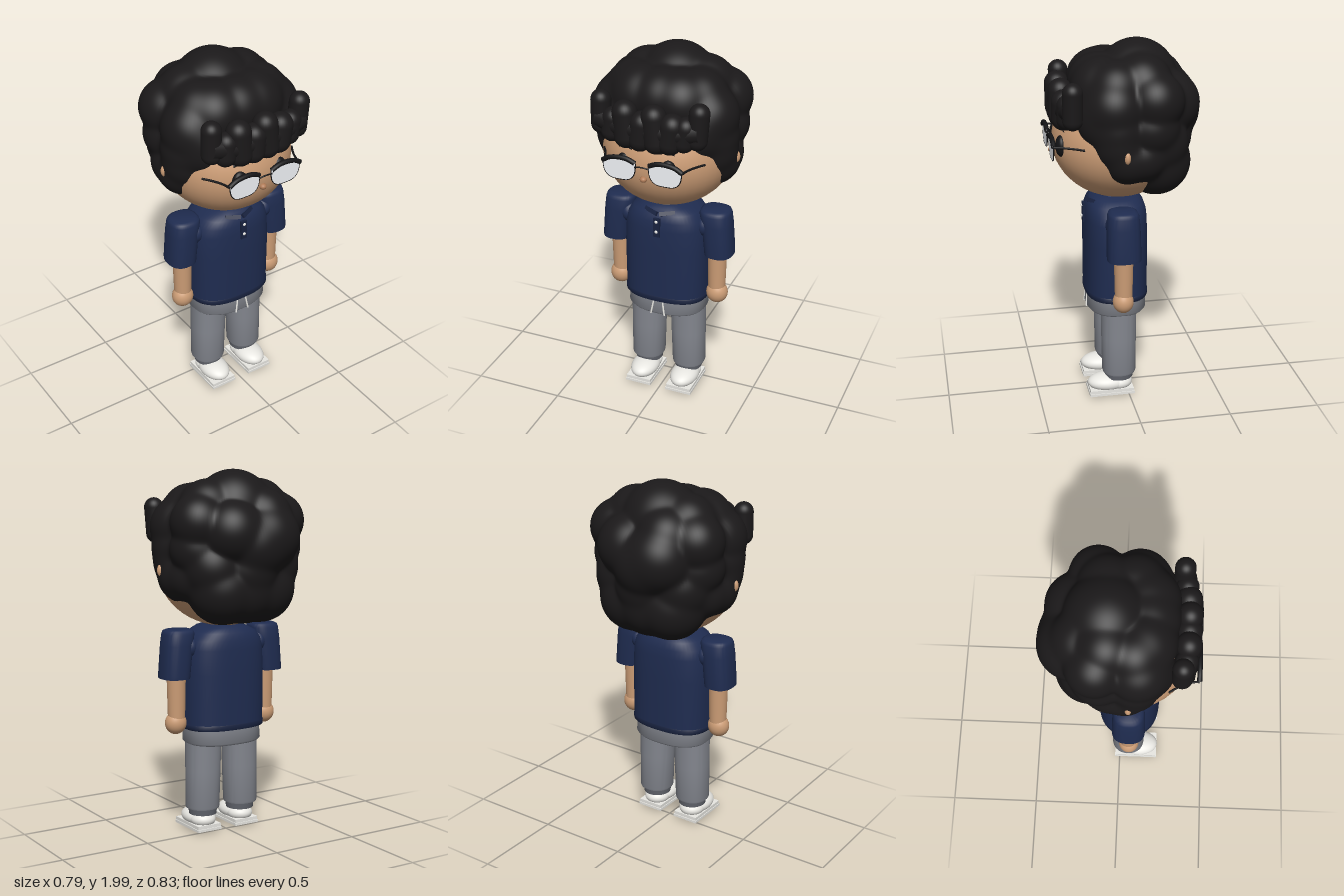
import * as THREE from 'three';
import { mergeVertices, toCreasedNormals } from 'three/addons/utils/BufferGeometryUtils.js';

const mat = (color) => new THREE.MeshStandardMaterial({ color, side: THREE.DoubleSide });

// Loft through rings [y, rx, rz, cx, cz]; n is the squareness of the section
function loft(rings, n = 2, seg = 48) {
  const pos = [], idx = [];
  const first = rings[0], last = rings[rings.length - 1];
  const closed = [[first[0], 0, 0, first[3], first[4]], ...rings, [last[0], 0, 0, last[3], last[4]]];
  const pw = (v) => Math.sign(v) * Math.abs(v) ** (2 / n);
  for (const [y, rx, rz, cx = 0, cz = 0.05] of closed)
    for (let j = 0; j < seg; j++) {
      const a = (j / seg) * Math.PI * 2;
      pos.push(cx + rx * pw(Math.cos(a)), y, cz + rz * pw(Math.sin(a)));
    }
  for (let i = 0; i < closed.length - 1; i++)
    for (let j = 0; j < seg; j++) {
      const k = (j + 1) % seg, a = i * seg + j, b = i * seg + k;
      idx.push(a, a + seg, b, b, a + seg, b + seg);
    }
  const g = new THREE.BufferGeometry();
  g.setAttribute('position', new THREE.Float32BufferAttribute(pos, 3));
  g.setIndex(idx);
  return toCreasedNormals(g, 0.9);
}

const HEAD = { c: new THREE.Vector3(0, 1.46, 0.03), r: new THREE.Vector3(0.355, 0.31, 0.355) };

// Hair: a sphere pushed out to a smooth union of curls; it sinks into the head at the face
function hairGeometry() {
  const curls = [[0, 1.78, -0.07, 0.215], [0, 1.77, 0.14, 0.155], [0.1, 1.76, 0.13, 0.165], [-0.12, 1.76, 0.12, 0.165],
    [-0.1, 1.64, -0.235, 0.18], [0.1, 1.67, -0.215, 0.17], [-0.03, 1.6, -0.23, 0.185], [-0.11, 1.74, -0.19, 0.155],
    [0, 1.47, -0.19, 0.178], [0, 1.365, -0.16, 0.185]];
  for (const s of [1, -1])
    curls.push([s * 0.16, 1.79, -0.07, 0.155], [s * 0.18, 1.77, 0.07, 0.15], [s * 0.245, 1.72, -0.12, 0.15],
      [s * 0.235, 1.69, 0.09, 0.16], [s * 0.21, 1.65, 0.14, 0.137], [s * 0.21, 1.6, 0.14, 0.135],
      [s * 0.255, 1.5, 0.075, 0.132], [s * 0.25, 1.425, 0.03, 0.135], [s * 0.24, 1.43, -0.05, 0.135],
      [s * 0.24, 1.58, -0.1, 0.147], [s * 0.25, 1.58, 0.08, 0.143], [s * 0.12, 1.365, -0.15, 0.185],
      [s * 0.17, 1.48, -0.14, 0.17]);
  const C = new THREE.Vector3(0, 1.6, -0.05), d = new THREE.Vector3(), k = 0.01;
  // distance at which a ray from C leaves an ellipsoid
  const exit = (c, r) => {
    const o = C.clone().sub(c).divide(r), v = d.clone().divide(r);
    const A = v.dot(v), B = o.dot(v), D = B * B - A * (o.dot(o) - 1);
    return D < 0 ? 0 : Math.max(0, (-B + Math.sqrt(D)) / A);
  };
  const shapes = curls.map(([x, y, z, r]) => [new THREE.Vector3(x, y, z), new THREE.Vector3(r, r, r)]);
  shapes.push([HEAD.c, HEAD.r.clone().multiplyScalar(0.93)]);
  let g = new THREE.SphereGeometry(1, 144, 108);
  g.deleteAttribute('uv');
  g.deleteAttribute('normal');
  g = mergeVertices(g, 1e-5);
  const p = g.attributes.position;
  for (let i = 0; i < p.count; i++) {
    d.fromBufferAttribute(p, i).normalize();
    const e = shapes.map(([c, r]) => exit(c, r)), m = Math.max(...e);
    const t = m + k * Math.log(e.reduce((s, v) => s + Math.exp((v - m) / k), 0));
    p.setXYZ(i, C.x + d.x * t, C.y + d.y * t, C.z + d.z * t);
  }
  g.computeVertexNormals();
  return g;
}

export function createModel() {
  const model = new THREE.Group();
  model.name = 'figure';
  const skin = mat(0xcb9c75), hair = mat(0x1b191a), navy = mat(0x1f2c50), navyDark = mat(0x18223f);
  const grey = mat(0x83868e), greyDark = mat(0x62656d), white = mat(0xe8e7e2), lensMat = mat(0xf2f4f8), black = mat(0x141416);

  const add = (name, geo, m, x = 0, y = 0, z = 0) => {
    const mesh = new THREE.Mesh(geo, m);
    mesh.name = name;
    mesh.position.set(x, y, z);
    model.add(mesh);
    return mesh;
  };
  const ball = (name, m, x, y, z, rx, ry = rx, rz = rx) =>
    add(name, new THREE.SphereGeometry(1, 40, 28), m, x, y, z).scale.set(rx, ry, rz);
  const box = (name, m, w, h, dp, x, y, z) => add(name, new THREE.BoxGeometry(w, h, dp), m, x, y, z);
  const tube = (name, m, pts, r, sides = 8) =>
    add(name, new THREE.TubeGeometry(new THREE.CatmullRomCurve3(pts.map((q) => new THREE.Vector3(...q))), 24, r, sides), m);

  // Head and hair
  ball('head', skin, HEAD.c.x, HEAD.c.y, HEAD.c.z, HEAD.r.x, HEAD.r.y, HEAD.r.z);
  ball('nose', mat(0xb07c58), 0, 1.415, 0.385, 0.019, 0.016, 0.02);
  add('neck', new THREE.CylinderGeometry(0.08, 0.08, 0.12, 32), skin, 0, 1.15, 0.04);
  add('hair', hairGeometry(), hair);

  // Fringe: a curved roll with overlapping locks [x, bottom, top, z, radius, lean]
  tube('fringeRoll', hair, [[-0.27, 1.69, 0.312], [-0.13, 1.67, 0.335], [0, 1.67, 0.338], [0.13, 1.67, 0.335], [0.27, 1.69, 0.312]], 0.058, 20);
  for (const [x, y0, y1, z, r, lean] of [[-0.262, 1.6, 1.835, 0.31, 0.053, 0], [-0.19, 1.575, 1.76, 0.33, 0.057, -0.1],
    [-0.115, 1.555, 1.81, 0.337, 0.066, 0.08], [-0.03, 1.55, 1.765, 0.34, 0.064, -0.1], [0.045, 1.55, 1.81, 0.34, 0.066, 0.1],
    [0.13, 1.555, 1.775, 0.336, 0.066, -0.15], [0.2, 1.575, 1.765, 0.326, 0.057, -0.15], [0.265, 1.59, 1.84, 0.31, 0.053, -0.08]]) {
    const lock = add('fringeLock', new THREE.CapsuleGeometry(r, y1 - y0 - 2 * r, 12, 28), hair, x, (y0 + y1) / 2, z);
    lock.rotation.z = lean;
  }

  // Torso: shirt, hem, collar, placket
  add('shirt', loft([[0.615, 0.232, 0.17], [0.9, 0.235, 0.17], [1.03, 0.228, 0.168], [1.08, 0.215, 0.163],
    [1.12, 0.185, 0.15], [1.145, 0.135, 0.13], [1.16, 0.09, 0.1]], 2.6), navy);
  add('shirtHem', loft([[0.59, 0.232, 0.17], [0.595, 0.236, 0.172], [0.615, 0.236, 0.172], [0.62, 0.232, 0.17]], 2.6), navyDark);
  add('collarBand', loft([[1.13, 0.11, 0.12], [1.165, 0.09, 0.1]], 2), navyDark);
  box('placket', navyDark, 0.036, 0.11, 0.014, 0, 1.053, 0.22);
  for (const y of [1.09, 1.03]) ball('button', white, 0, y, 0.23, 0.009, 0.009, 0.005);

  // Trousers
  add('waist', loft([[0.5, 0.19, 0.14], [0.504, 0.212, 0.158], [0.515, 0.222, 0.166], [0.6, 0.216, 0.16]], 2.4), grey);

  tube('glassesBridge', black, [[-0.04, 1.485, 0.405], [0, 1.492, 0.41], [0.04, 1.485, 0.405]], 0.004);

  // Lens outline: flat brow, rounded bottom
  const lens = new THREE.Shape();
  lens.moveTo(-0.088, 0.04);
  lens.quadraticCurveTo(0, 0.065, 0.088, 0.04);
  lens.bezierCurveTo(0.093, -0.03, 0.07, -0.06, 0.025, -0.062);
  lens.lineTo(-0.025, -0.062);
  lens.bezierCurveTo(-0.07, -0.06, -0.093, -0.03, -0.088, 0.04);
  const rim = lens.getPoints(10).slice(0, -1).map((q) => new THREE.Vector3(q.x, q.y, 0));

  for (const s of [1, -1]) {
    const side = s > 0 ? 'left' : 'right';
    ball(side + 'Ear', skin, s * 0.373, 1.465, 0.05, 0.024, 0.035, 0.018);

    // Face and glasses
    ball(side + 'Eye', black, s * 0.12, 1.47, 0.352, 0.045, 0.058, 0.03);
    tube(side + 'Eyebrow', hair, [[s * 0.07, 1.56, 0.352], [s * 0.11, 1.57, 0.348], [s * 0.15, 1.558, 0.335]], 0.009);
    add(side + 'Lens', new THREE.ExtrudeGeometry(lens, { depth: 0.005, bevelEnabled: false, curveSegments: 12 }), lensMat, s * 0.125, 1.467, 0.4);
    add(side + 'Rim', new THREE.TubeGeometry(new THREE.CatmullRomCurve3(rim, true), 60, 0.003, 6, true), black, s * 0.125, 1.467, 0.403);
    tube(side + 'BrowBar', black, [[s * 0.038, 1.505, 0.404], [s * 0.08, 1.522, 0.404], [s * 0.13, 1.525, 0.404],
      [s * 0.18, 1.516, 0.404], [s * 0.217, 1.495, 0.404]], 0.013);
    tube(side + 'Temple', black, [[s * 0.217, 1.492, 0.405], [s * 0.225, 1.491, 0.36], [s * 0.25, 1.489, 0.3],
      [s * 0.28, 1.487, 0.25]], 0.006);

    // Collar flap
    const flap = box(side + 'CollarFlap', navyDark, 0.085, 0.022, 0.02, s * 0.045, 1.128, 0.185);
    flap.rotation.set(-0.6, s * 0.3, s * 0.3);

    // Arm
    add(side + 'Sleeve', loft([[0.88, 0.078, 0.09, s * 0.298, 0.053], [0.9, 0.079, 0.091, s * 0.297, 0.053],
      [1.06, 0.083, 0.088, s * 0.282, 0.053], [1.12, 0.085, 0.083, s * 0.273, 0.053],
      [1.137, 0.08, 0.076, s * 0.272, 0.053], [1.144, 0.066, 0.06, s * 0.272, 0.053]], 2.5), navy);
    ball(side + 'Shoulder', navy, s * 0.22, 1.045, 0.053, 0.055, 0.07, 0.085);
    add(side + 'Forearm', new THREE.CylinderGeometry(0.053, 0.047, 0.26, 32), skin, s * 0.285, 0.79, 0.053);
    ball(side + 'Hand', skin, s * 0.288, 0.63, 0.056, 0.06, 0.062, 0.056);

    // Leg
    add(side + 'Leg', loft([[0.135, 0.089, 0.09, s * 0.124], [0.145, 0.092, 0.093, s * 0.124], [0.35, 0.095, 0.096, s * 0.12],
      [0.53, 0.098, 0.098, s * 0.117]], 2.2), grey);
    add(side + 'Cuff', loft([[0.1, 0.076, 0.078, s * 0.122], [0.14, 0.08, 0.083, s * 0.122]]), greyDark);
    tube(side + 'Drawstring', white, [[s * 0.025, 0.595, 0.207], [s * 0.032, 0.55, 0.213], [s * 0.04, 0.505, 0.217]], 0.005);

    // Shoe
    ball(side + 'Shoe', white, s * 0.122, 0.068, 0.11, 0.078, 0.05, 0.117);
    ball(side + 'ShoeHeel', white, s * 0.122, 0.065, 0.05, 0.072, 0.045, 0.075);
    box(side + 'Sole', white, 0.152, 0.014, 0.252, s * 0.122, 0.019, 0.098);
    box(side + 'Welt', white, 0.146, 0.018, 0.244, s * 0.122, 0.036, 0.098);
    ball(side + 'Tread', white, s * 0.122, 0.012, 0.098, 0.055, 0.012, 0.09);
  }
  return model;
}
